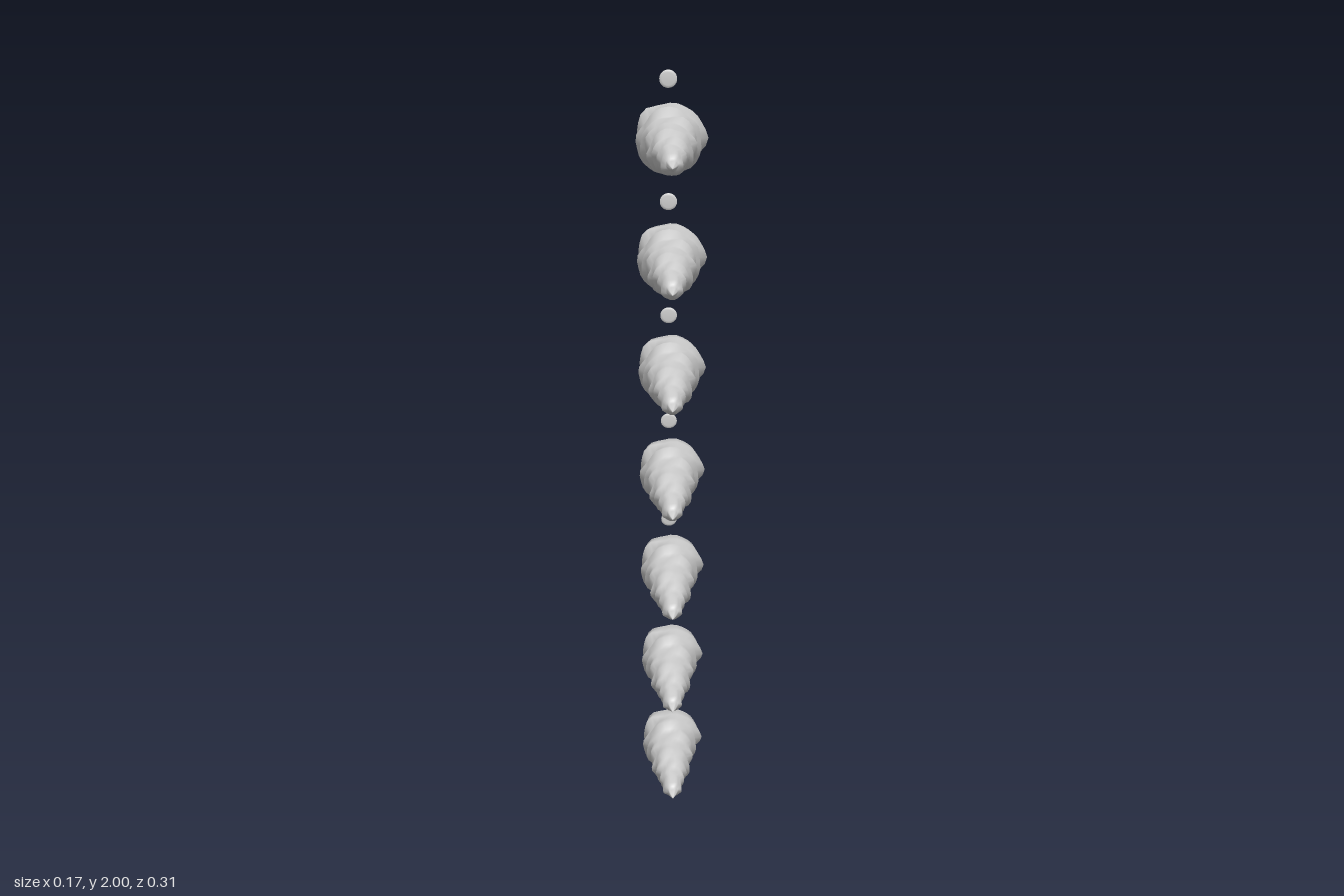
import * as THREE from 'three';

const SEGMENTS = 28;
const SPACING = 0.293;

// Each tier flares forwards: [start z, start radius, lip z, lip radius]
const TIERS = [
  [-0.146, 0.076, -0.118, 0.083],
  [-0.111, 0.069, -0.083, 0.077],
  [-0.077, 0.062, -0.050, 0.067],
  [-0.044, 0.055, -0.016, 0.059],
  [-0.010, 0.048, 0.018, 0.053],
  [0.024, 0.040, 0.050, 0.043],
  [0.056, 0.031, 0.081, 0.034],
  [0.087, 0.025, 0.117, 0.025],
];

// Wavy ring of points around the z axis
function ring(z, radius, seed, wave, zWave) {
  const points = [];
  const cx = z < -0.1 ? 0 : -0.004;
  for (let i = 0; i < SEGMENTS; i++) {
    const a = (i / SEGMENTS) * Math.PI * 2;
    const r = radius * (1 + wave * (0.6 * Math.sin(3 * a + seed * 2.1)
      + 0.5 * Math.sin(5 * a + seed * 3.7) + 0.25 * Math.cos(8 * a + seed * 1.3)));
    const dz = zWave * Math.sin(4 * a + seed * 1.9) + zWave * 0.6 * Math.sin(7 * a + seed);
    points.push([cx + r * Math.cos(a), r * Math.sin(a), z + dz]);
  }
  return points;
}

// Smooth skin over consecutive rings
function loft(rings) {
  const index = [];
  for (let j = 0; j < rings.length - 1; j++) {
    for (let i = 0; i < SEGMENTS; i++) {
      const k = (i + 1) % SEGMENTS;
      const a = j * SEGMENTS + i, b = j * SEGMENTS + k;
      const c = a + SEGMENTS, d = b + SEGMENTS;
      index.push(a, b, d, a, d, c);
    }
  }
  const geometry = new THREE.BufferGeometry();
  geometry.setAttribute('position', new THREE.Float32BufferAttribute(rings.flat(2), 3));
  geometry.setIndex(index);
  geometry.computeVertexNormals();
  return geometry;
}

function coneGeometry() {
  // Open back edge
  const rings = [ring(-0.154, 0.075, 0.5, 0.05, 0.001)];
  TIERS.forEach(([z0, r0, z1, r1], t) => {
    const seed = t + 0.5;
    rings.push(ring(z0, r0, seed, 0.05, 0.001));
    rings.push(ring(z1, r1, seed, 0.07, 0.0025 * (1 - t * 0.06)));
  });
  // Pointed tip
  rings.push(ring(0.122, 0.015, 9, 0.06, 0), ring(0.132, 0.012, 9, 0.1, 0),
    ring(0.144, 0.007, 9, 0.1, 0), ring(0.155, 0.0008, 9, 0, 0));
  return loft(rings);
}

export function createModel() {
  const model = new THREE.Group();
  model.name = 'spikeColumn';

  const shellGrey = new THREE.MeshStandardMaterial({ color: 0xcccccc, side: THREE.DoubleSide });
  shellGrey.name = 'shellGrey';

  const spike = coneGeometry();
  // Small stud with bevelled faces
  const profile = [[0, -0.003], [0.015, -0.003], [0.021, -0.001], [0.021, 0.001], [0.015, 0.003], [0, 0.003]];
  const disc = new THREE.LatheGeometry(profile.map(([r, h]) => new THREE.Vector2(r, h)), 24);
  disc.rotateX(Math.PI / 2);

  for (let i = 0; i < 7; i++) {
    const unit = new THREE.Group();
    unit.name = `spikeUnit${i + 1}`;
    unit.position.y = i * SPACING;

    const cone = new THREE.Mesh(spike, shellGrey);
    cone.name = 'tieredSpike';
    cone.position.y = 0.088;

    const stud = new THREE.Mesh(disc, shellGrey);
    stud.name = 'smallDisc';
    stud.position.set(-0.004, 0.221, -0.138);

    unit.add(cone, stud);
    model.add(unit);
  }
  return model;
}
